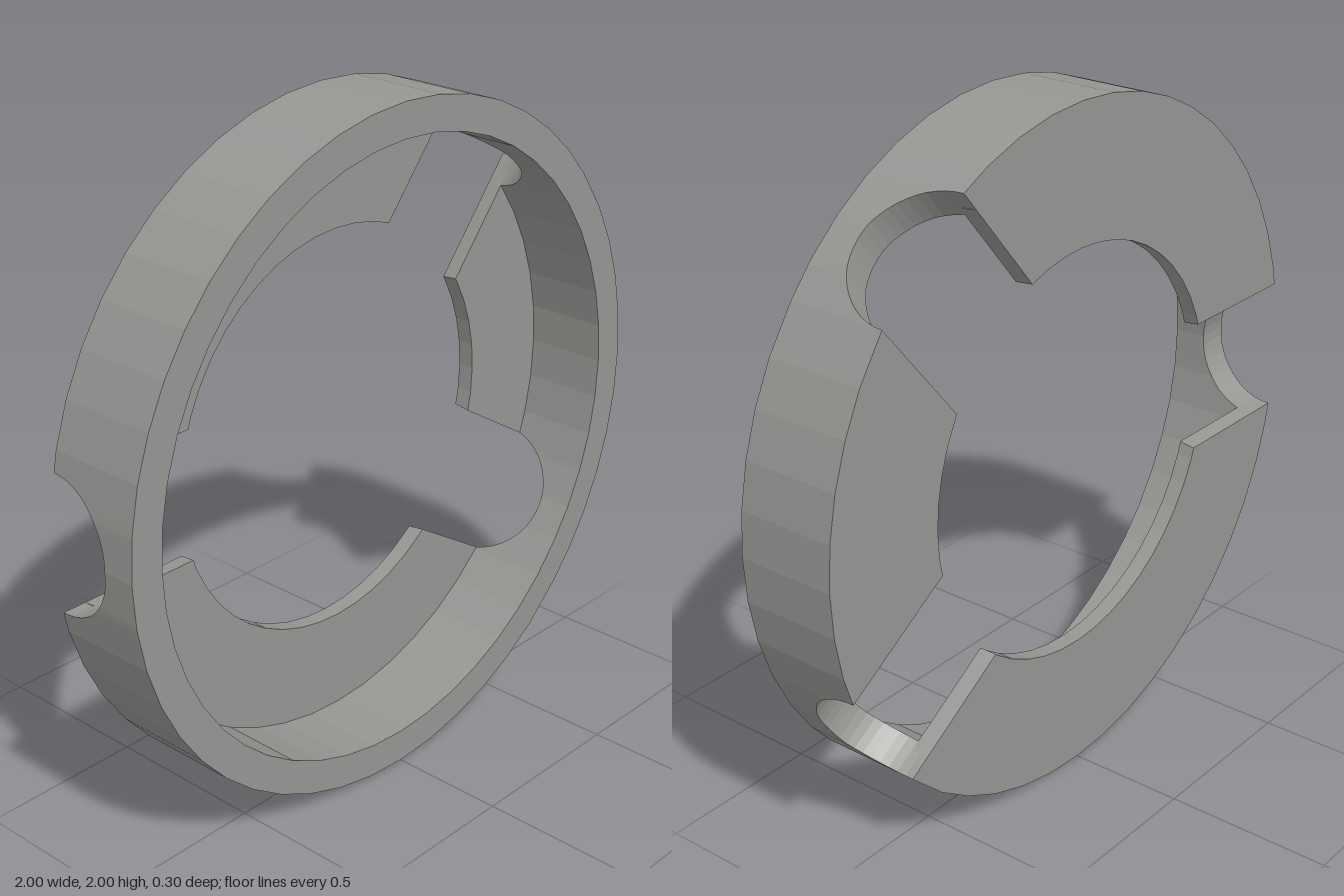
import * as THREE from 'three';

const RAD = Math.PI / 180;
const STEP = 7.5;                 // 48 facets around
const OUTER = 1, INNER = 0.9, HOLE = 0.6;
const FRONT = 0.15, BACK = -0.15, FLANGE_FRONT = -0.1;
const NOTCH = 0.2;                // radius of the round radial cut-outs
const NOTCH_ANGLES = [-32, 50, 180];

// Angle (degrees) of a point lying d to the side of a radial line
const offsetAngle = (axis, d, r) => axis + Math.asin(d / r) / RAD;

// Point on the faceted circle of radius r
function point(deg, r, z) {
  const local = deg - (Math.floor(deg / STEP) + 0.5) * STEP;
  const rr = r * Math.cos(STEP / 2 * RAD) / Math.cos(local * RAD);
  return [rr * Math.cos(deg * RAD), rr * Math.sin(deg * RAD), z];
}

// Facet corners strictly between two angles
function facetAngles(from, to) {
  const list = [];
  for (let a = Math.ceil((from + 0.3) / STEP) * STEP; a < to - 0.3; a += STEP) list.push(a);
  return list;
}

// Joins four-cornered sections: outer back, outer front, inner front, inner back
function loft(sections, closed) {
  const pos = [];
  const quad = (a, b, c, d) => pos.push(...a, ...b, ...c, ...a, ...c, ...d);
  const count = closed ? sections.length : sections.length - 1;
  for (let i = 0; i < count; i++) {
    const s = sections[i], n = sections[(i + 1) % sections.length];
    for (let k = 0; k < 4; k++) {
      const m = (k + 1) % 4;
      quad(s[k], n[k], n[m], s[m]);
    }
  }
  if (!closed) {
    quad(...sections[0]);
    quad(...[...sections[sections.length - 1]].reverse());
  }
  const geometry = new THREE.BufferGeometry();
  geometry.setAttribute('position', new THREE.Float32BufferAttribute(pos, 3));
  geometry.computeVertexNormals();
  return geometry;
}

// Rim wall, its back edge scooped by three round notches
function rimGeometry() {
  const sections = [];
  const add = (outerDeg, innerDeg, back) => sections.push([
    point(outerDeg, OUTER, back), point(outerDeg, OUTER, FRONT),
    point(innerDeg, INNER, FRONT), point(innerDeg, INNER, back)]);
  NOTCH_ANGLES.forEach((axis, i) => {
    const next = i < 2 ? NOTCH_ANGLES[i + 1] : NOTCH_ANGLES[0] + 360;
    const n = 24;
    for (let j = 0; j <= n; j++) {
      const t = Math.PI * j / n;
      const d = -NOTCH * Math.cos(t);
      add(offsetAngle(axis, d, OUTER), offsetAngle(axis, d, INNER), BACK + NOTCH * Math.sin(t));
    }
    const from = offsetAngle(axis, NOTCH, INNER), to = offsetAngle(next, -NOTCH, INNER);
    facetAngles(from, to).forEach((a) => add(a, a, BACK));
  });
  return loft(sections, true);
}

// One flange plate between two notches, with parallel-sided ends
function flangeGeometry(axis, next) {
  const root = 0.93;              // slightly embedded in the rim
  const depth = FLANGE_FRONT - BACK;
  const frontHalf = Math.sqrt(NOTCH * NOTCH - depth * depth);
  const end = (a, side) => [
    point(offsetAngle(a, side * NOTCH, root), root, BACK),
    point(offsetAngle(a, side * frontHalf, root), root, FLANGE_FRONT),
    point(offsetAngle(a, side * frontHalf, HOLE), HOLE, FLANGE_FRONT),
    point(offsetAngle(a, side * NOTCH, HOLE), HOLE, BACK)];
  const from = offsetAngle(axis, NOTCH, HOLE), to = offsetAngle(next, -NOTCH, HOLE);
  const middle = facetAngles(from, to).map((a) => [
    point(a, root, BACK), point(a, root, FLANGE_FRONT),
    point(a, HOLE, FLANGE_FRONT), point(a, HOLE, BACK)]);
  return loft([end(axis, 1), ...middle, end(next, -1)], false);
}

export function createModel() {
  const grey = new THREE.MeshStandardMaterial({ color: 0x969693 });
  grey.name = 'grey';
  const model = new THREE.Group();
  model.name = 'notchedRing';

  const add = (name, geometry) => {
    const mesh = new THREE.Mesh(geometry, grey);
    mesh.name = name;
    mesh.position.y = 1;
    model.add(mesh);
  };

  add('rim', rimGeometry());
  ['rightUpperSideFlange', 'topFlange', 'bottomFlange'].forEach((_, i) => {
    const next = i < 2 ? NOTCH_ANGLES[i + 1] : NOTCH_ANGLES[0] + 360;
    add(['sideFlange', 'topFlange', 'bottomFlange'][i], flangeGeometry(NOTCH_ANGLES[i], next));
  });
  return model;
}
